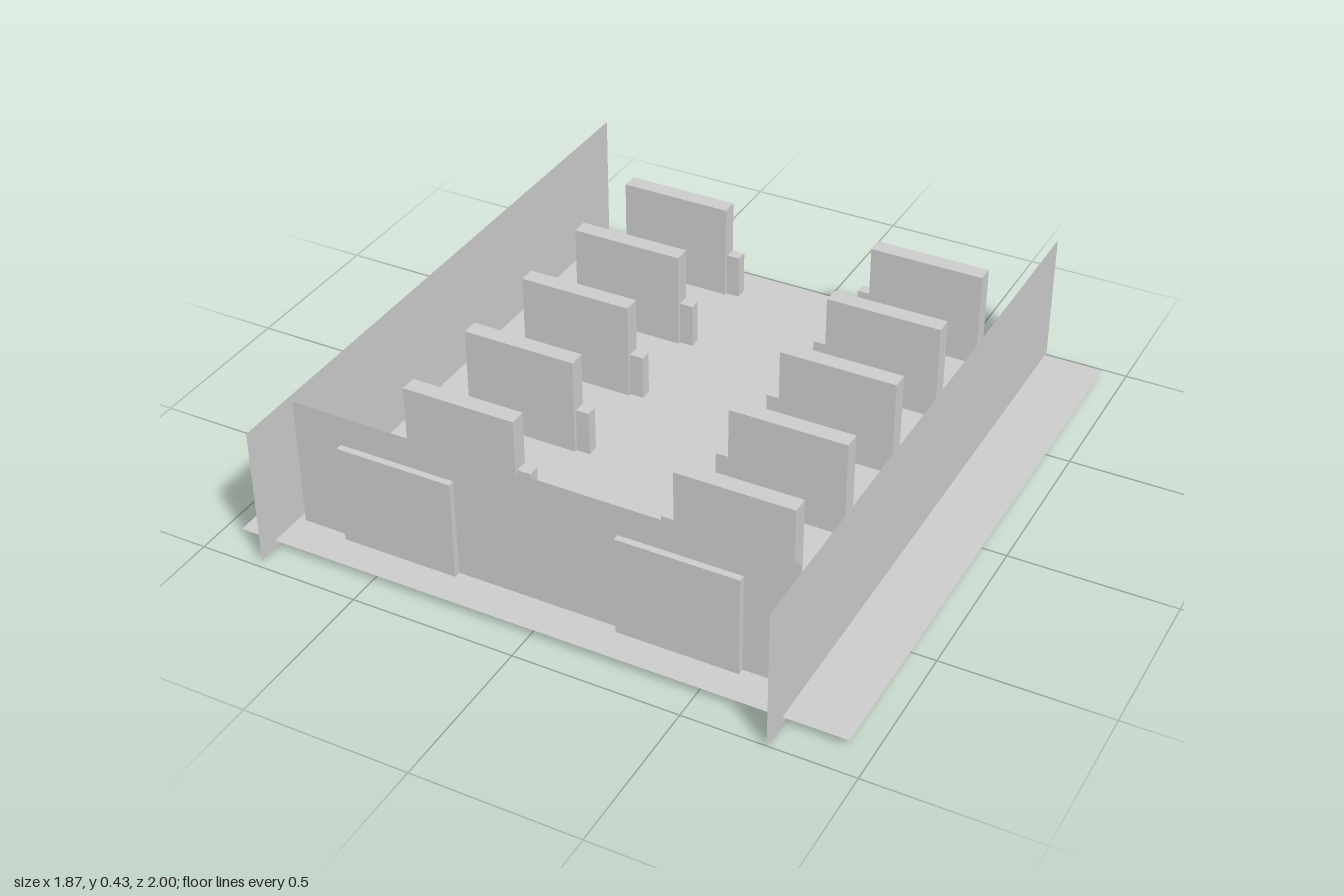
import * as THREE from 'three';

const FLOOR_Y = 0.024;
const WALL_H = 0.43;

export function createModel() {
  const group = new THREE.Group();
  const solid = new THREE.MeshStandardMaterial({ color: 0xcccccc, flatShading: true });
  const sheet = new THREE.MeshStandardMaterial({ color: 0xcccccc, side: THREE.DoubleSide });

  const add = (name, geometry, material, x, y, z) => {
    const mesh = new THREE.Mesh(geometry, material);
    mesh.name = name;
    mesh.position.set(x, y, z);
    group.add(mesh);
    return mesh;
  };

  // Block spanning x0..x1 and y0..y1, centred on z
  const block = (name, x0, x1, y0, y1, z, depth) =>
    add(name, new THREE.BoxGeometry(x1 - x0, y1 - y0, depth), solid, (x0 + x1) / 2, (y0 + y1) / 2, z);

  // Thin floor sheet
  add('floor', new THREE.PlaneGeometry(1.868, 1.868).rotateX(-Math.PI / 2), sheet, 0, FLOOR_Y, -0.025);

  // Side walls, slightly staggered along z, cutting through the floor
  const sideWall = new THREE.PlaneGeometry(1.975, WALL_H).rotateY(Math.PI / 2);
  add('leftWall', sideWall, sheet, 0.747, WALL_H / 2, 0.0125);
  add('rightWall', sideWall, sheet, -0.82, WALL_H / 2, -0.0125);

  // Front wall through the first row of tall blocks
  add('frontWall', new THREE.PlaneGeometry(1.533, WALL_H), sheet, -0.032, WALL_H / 2, 0.793);

  // Two columns of tall blocks, each with a low block on its inner side except the front row
  const rows = [-0.841, -0.518, -0.197, 0.13, 0.459, 0.787];
  rows.forEach((z, i) => {
    block('rightTallBlock', -0.65, -0.29, 0.014, 0.335, z, 0.053);
    block('leftTallBlock', 0.21, 0.575, 0.014, 0.335, z, 0.053);
    if (i < rows.length - 1) {
      block('rightLowBlock', -0.288, -0.245, FLOOR_Y, 0.167, z, 0.036);
      block('leftLowBlock', 0.167, 0.208, FLOOR_Y, 0.167, z, 0.036);
    }
  });

  return group;
}
